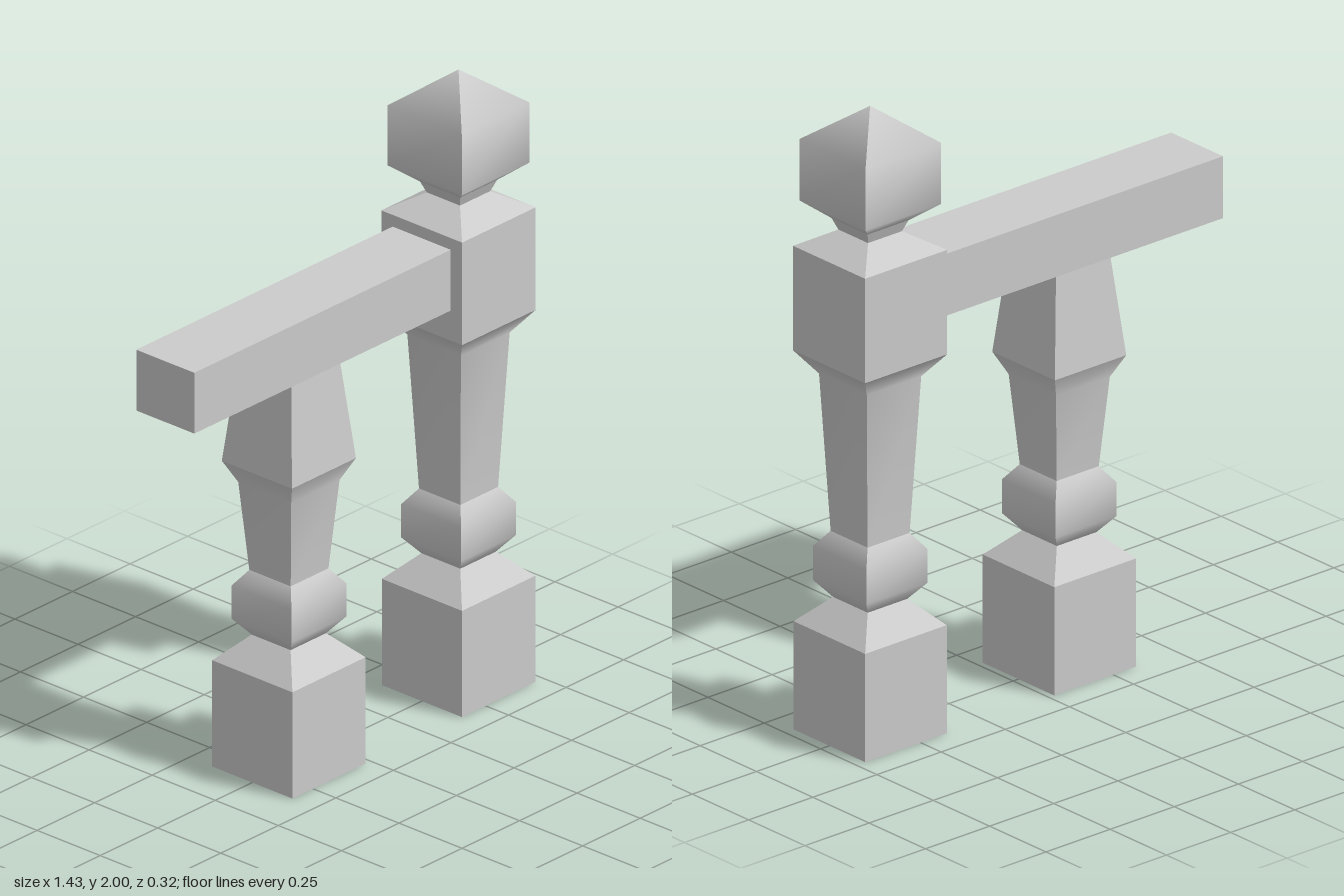
import * as THREE from 'three';

const material = new THREE.MeshStandardMaterial({ color: 0xcccccc, side: THREE.DoubleSide });

// Open square tier: profile of [halfWidth, y] going up, smooth along the
// profile and sharp at the four corners.
function tier(name, profile) {
  const positions = [], index = [];
  for (let side = 0; side < 4; side++) {
    const start = positions.length / 3;
    const c = [1, 0, -1, 0][side], s = [0, 1, 0, -1][side];
    for (const [r, y] of profile) {
      for (const u of [-r, r]) positions.push(c * u + s * r, y, c * r - s * u);
    }
    for (let i = 0; i < profile.length - 1; i++) {
      const a = start + i * 2;
      index.push(a, a + 1, a + 3);
      if (profile[i + 1][0] > 0) index.push(a, a + 3, a + 2);
    }
  }
  const geometry = new THREE.BufferGeometry();
  geometry.setAttribute('position', new THREE.Float32BufferAttribute(positions, 3));
  geometry.setIndex(index);
  geometry.computeVertexNormals();
  const mesh = new THREE.Mesh(geometry, material);
  mesh.name = name;
  return mesh;
}

// Foot block and bulb shared by both uprights
function lowerTiers() {
  return [
    tier('base', [[0.159, 0], [0.159, 0.346]]),
    tier('baseShoulder', [[0.159, 0.346], [0.077, 0.427]]),
    tier('bulb', [[0.077, 0.427], [0.119, 0.48], [0.119, 0.588], [0.082, 0.638]]),
  ];
}

function upright(name, x, tiers) {
  const group = new THREE.Group();
  group.name = name;
  group.add(...lowerTiers(), ...tiers);
  group.position.x = x;
  return group;
}

export function createModel() {
  const model = new THREE.Group();
  model.name = 'balustrade';

  // Tall end post with pointed finial
  model.add(upright('newelPost', 0.557, [
    tier('shaft', [[0.082, 0.638], [0.106, 1.14], [0.16, 1.212]]),
    tier('block', [[0.16, 1.212], [0.16, 1.546]]),
    tier('blockShoulder', [[0.16, 1.546], [0.066, 1.602]]),
    tier('neck', [[0.066, 1.602], [0.08, 1.638]]),
    tier('finial', [[0.08, 1.638], [0.147, 1.692], [0.147, 1.888], [0, 2]]),
  ]));

  // Shorter baluster under the rail
  model.add(upright('baluster', -0.18, [
    tier('shaft', [[0.082, 0.638], [0.105, 0.925], [0.139, 0.995]]),
    tier('taperedTop', [[0.139, 0.995], [0.106, 1.31]]),
  ]));

  // Handrail butting against the post block
  const rail = new THREE.Mesh(new THREE.BoxGeometry(1.117, 0.198, 0.23), material);
  rail.name = 'handrail';
  rail.position.set(-0.1585, 1.409, 0);
  model.add(rail);

  return model;
}
